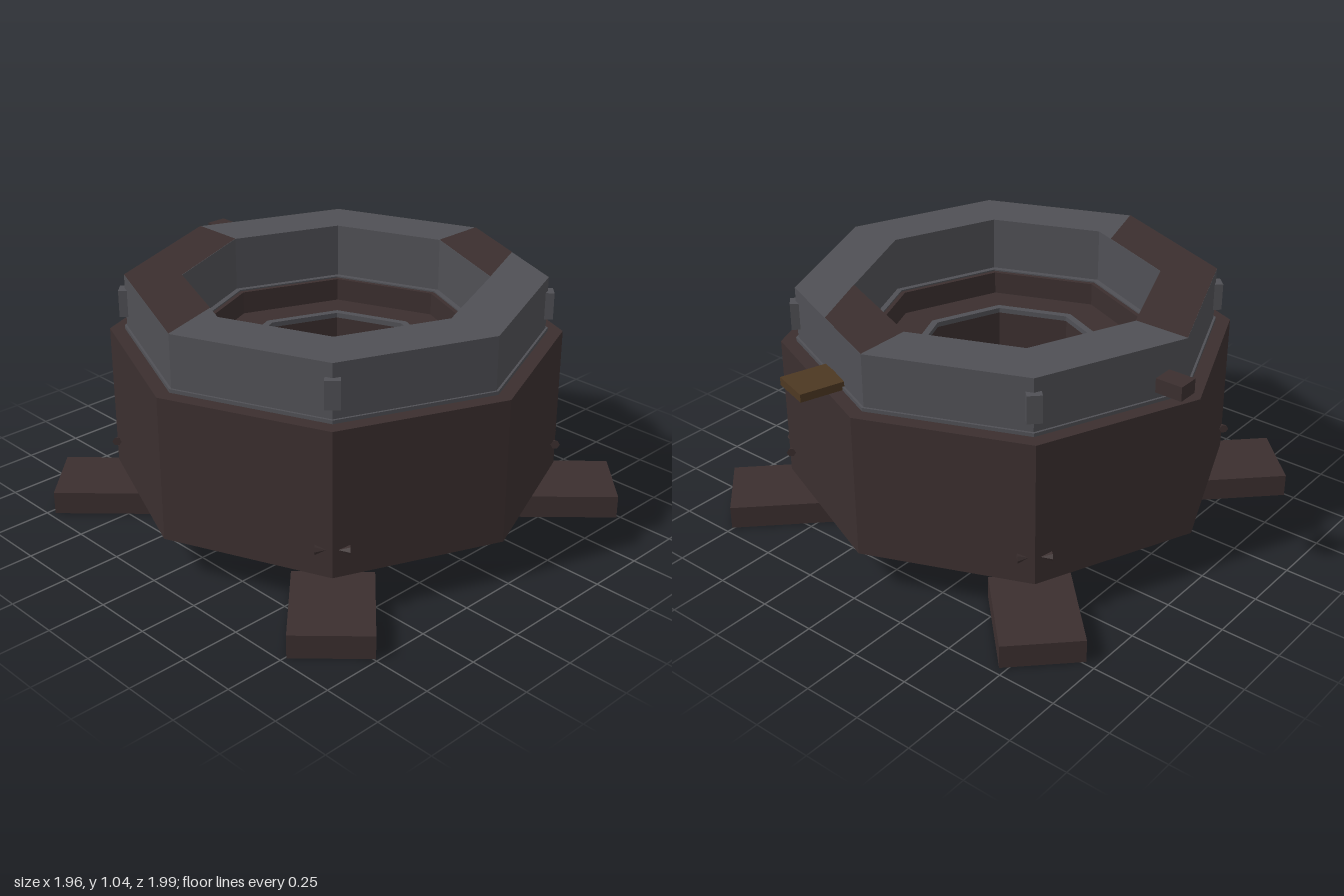
import * as THREE from 'three';

export function createModel() {
  const model = new THREE.Group();
  const brown = new THREE.MeshStandardMaterial({ color: 0x3b2f2f });
  const grey = new THREE.MeshStandardMaterial({ color: 0x505055 });
  const amber = new THREE.MeshStandardMaterial({ color: 0x4d3822 });
  brown.name = 'dark brown';
  grey.name = 'slate grey';
  amber.name = 'dull amber';

  // Everything octagonal shares one slightly offset centre
  const well = new THREE.Group();
  well.name = 'octagonalWell';
  well.position.set(-0.003, 0, 0.017);
  model.add(well);

  function add(parent, name, geometry, material, x = 0, y = 0, z = 0) {
    const mesh = new THREE.Mesh(geometry, material);
    mesh.name = name;
    mesh.position.set(x, y, z);
    parent.add(mesh);
    return mesh;
  }

  // Faceted eight-sided solid from a closed [radius, height] profile
  function octagon(profile) {
    const points = [...profile, profile[0]].map(([r, y]) => new THREE.Vector2(r, y));
    const geometry = new THREE.LatheGeometry(points, 8).toNonIndexed();
    geometry.computeVertexNormals();
    return geometry;
  }
  const ring = (inner, outer, bottom, top) =>
    octagon([[inner, bottom], [outer, bottom], [outer, top], [inner, top]]);

  // Main drum with narrow base, recessed floor and central shaft
  add(well, 'drum', octagon([
    [0.405, 0.03], [0.585, 0.03], [0.585, 0.18], [0.948, 0.18],
    [0.948, 0.8], [0.59, 0.8], [0.59, 0.7], [0.405, 0.7],
  ]), brown);

  // Upper ring and its trims
  add(well, 'upperRing', ring(0.635, 0.875, 0.79, 1.04), grey);
  add(well, 'outerLip', ring(0.86, 0.885, 0.79, 0.815), grey);
  add(well, 'innerLip', ring(0.61, 0.64, 0.79, 0.806), grey);
  add(well, 'shaftTrim', ring(0.4, 0.432, 0.69, 0.712), grey);

  // Brown panels lying on the ring top; corner k sits at k * 45 degrees from +x towards +z
  const corner = (k, r) => new THREE.Vector2(Math.cos(k * Math.PI / 4) * r, -Math.sin(k * Math.PI / 4) * r);
  const between = (k, r, t) => corner(k, r).lerp(corner(k + 1, r), t);
  const panels = {
    rearPanel: [corner(4, 0.875), corner(5, 0.875), corner(6, 0.875),
      corner(6, 0.635), corner(5, 0.635), between(4, 0.635, 0.2)],
    sidePanel: [corner(0, 0.635), corner(0, 0.875), between(0, 0.875, 0.52), corner(1, 0.635)],
  };
  for (const [name, points] of Object.entries(panels)) {
    const geometry = new THREE.ShapeGeometry(new THREE.Shape(points));
    geometry.rotateX(-Math.PI / 2);
    add(well, name, geometry, brown, 0, 1.0415, 0);
  }

  // Foot, clamp and a pair of studs on each diagonal
  for (let i = 0; i < 4; i++) {
    const arm = new THREE.Group();
    arm.name = 'diagonal' + (i + 1);
    arm.rotation.y = Math.PI / 4 + i * Math.PI / 2;
    well.add(arm);
    add(arm, 'foot', new THREE.BoxGeometry(0.33, 0.1, 0.437), brown, 0, 0.05, 0.992);
    add(arm, 'clamp', new THREE.BoxGeometry(0.06, 0.117, 0.052), grey, 0, 0.922, 0.873);
    for (const side of [-1, 1]) {
      const cone = new THREE.ConeGeometry(0.02, 0.045, 6).toNonIndexed();
      cone.computeVertexNormals();
      const stud = add(arm, 'stud', cone, brown, side * 0.045, 0.3, 0.94);
      stud.rotation.z = side * Math.PI / 2;
    }
  }

  // Side shelf and the small block hovering behind
  add(model, 'shelf', new THREE.BoxGeometry(0.2, 0.035, 0.173), amber, 0.861, 0.818, 0.298)
    .rotation.y = -0.3;
  add(model, 'rearBlock', new THREE.BoxGeometry(0.09, 0.06, 0.115), brown, 0.205, 0.953, -0.943);

  return model;
}
